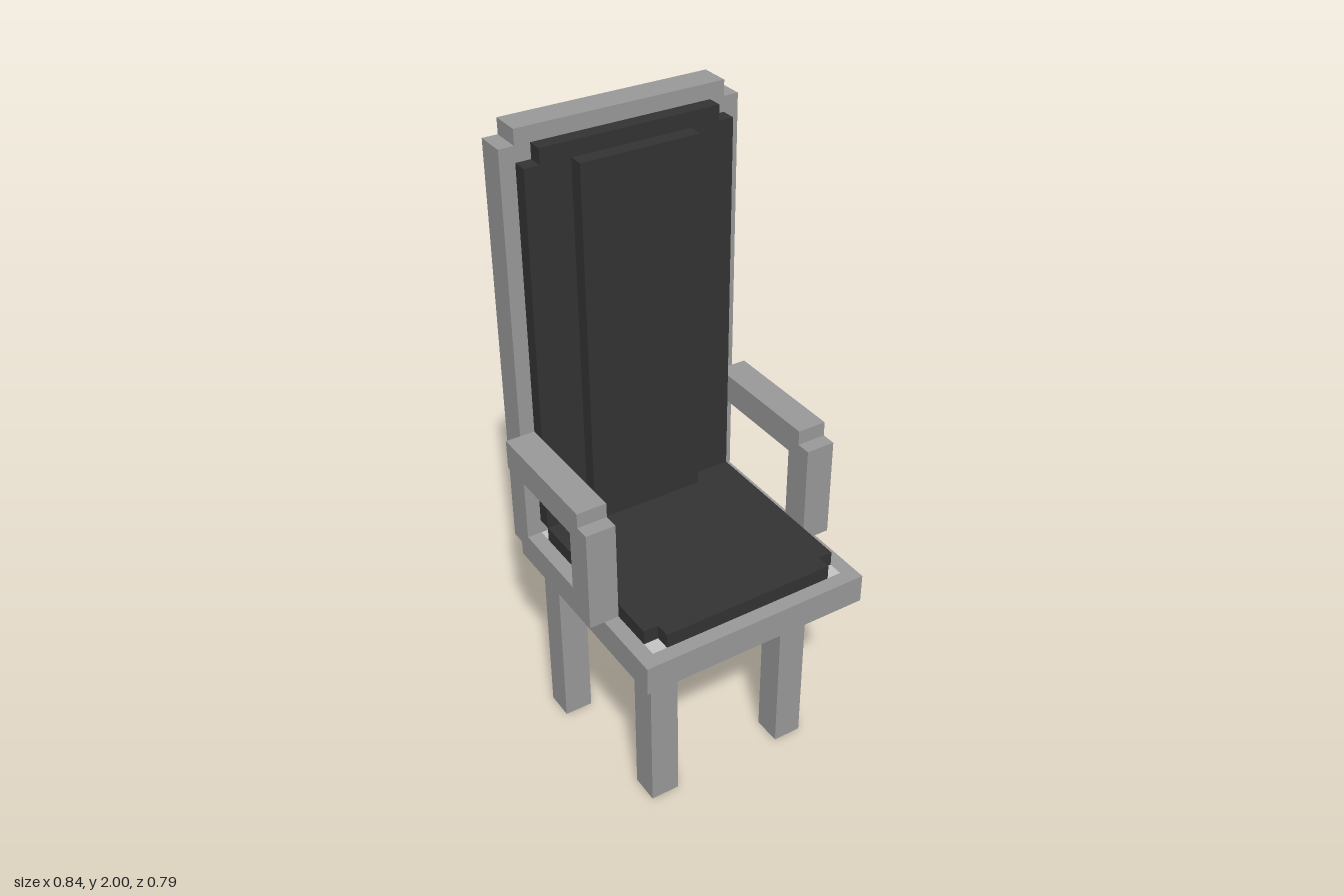
import * as THREE from 'three';

const U = 2 / 43; // one grid step of the blocky style

export function createModel() {
  const chair = new THREE.Group();
  chair.name = 'chair';

  const material = (name, color) => {
    const m = new THREE.MeshStandardMaterial({ color });
    m.name = name;
    return m;
  };
  const frame = material('frame grey', 0x999999);
  const panel = material('panel light grey', 0xc4c4c4);
  const fabric = material('cushion charcoal', 0x333333);

  // Box from its lower and upper corners, in grid steps
  const block = (name, mat, x0, x1, y0, y1, z0, z1) => {
    const mesh = new THREE.Mesh(
      new THREE.BoxGeometry((x1 - x0) * U, (y1 - y0) * U, (z1 - z0) * U), mat);
    mesh.position.set((x0 + x1) / 2 * U, (y0 + y1) / 2 * U, (z0 + z1) / 2 * U);
    mesh.name = name;
    chair.add(mesh);
  };
  // Same box on both sides of the chair
  const pair = (name, mat, x0, x1, ...rest) => {
    block(name + 'Left', mat, x0, x1, ...rest);
    block(name + 'Right', mat, -x1, -x0, ...rest);
  };

  // Seat: inner panel in a rim
  block('seatPanel', panel, -7, 7, 13, 15, -6.5, 7.5);
  block('seatRimFront', frame, -8, 8, 13, 15, 7.5, 8.5);
  pair('seatRim', frame, 7, 8, 13, 15, -6.5, 7.5);

  // Backrest with stepped corners
  block('backrest', frame, -8, 8, 14, 42, -8.5, -6.5);
  block('backrestTop', frame, -7, 7, 42, 43, -8.5, -6.5);
  block('backrestFootRear', frame, -7, 7, 13, 14, -8.5, -7.5);
  block('backrestFoot', frame, -8, 8, 13, 14, -7.5, -6.5);

  // Seat cushion with notched corners
  block('seatCushion', fabric, -7, 7, 15, 16, -5.5, 6.5);
  block('seatCushionFront', fabric, -6, 6, 15, 16, 6.5, 7.5);
  block('cushionSpacer', panel, -6, 6, 15, 16, -6.5, -5.5);

  // Back cushion with a raised middle
  block('backCushion', fabric, -7, 7, 16, 41, -6.5, -5.5);
  block('backCushionTop', fabric, -6, 6, 41, 42, -6.5, -5.5);
  block('backCushionMiddle', fabric, -4, 4, 16, 41, -5.5, -4.5);

  // Armrests
  pair('armPost', frame, 7, 9, 15, 21, 1.5, 3.5);
  pair('armPostTop', frame, 7, 9, 21, 22, 2.5, 3.5);
  pair('armRail', frame, 7, 9, 21, 23, -6.5, 2.5);

  // Legs and the corner brackets above them
  pair('frontLeg', frame, 4, 6, 0, 13, 3.5, 5.5);
  pair('frontBracket', frame, 5, 7, 12, 13, 4.5, 6.5);
  pair('backLeg', frame, 5, 7, 0, 13, -6.5, -4.5);
  pair('backBracket', frame, 5, 7, 12, 13, -7.5, -6.5);

  return chair;
}
